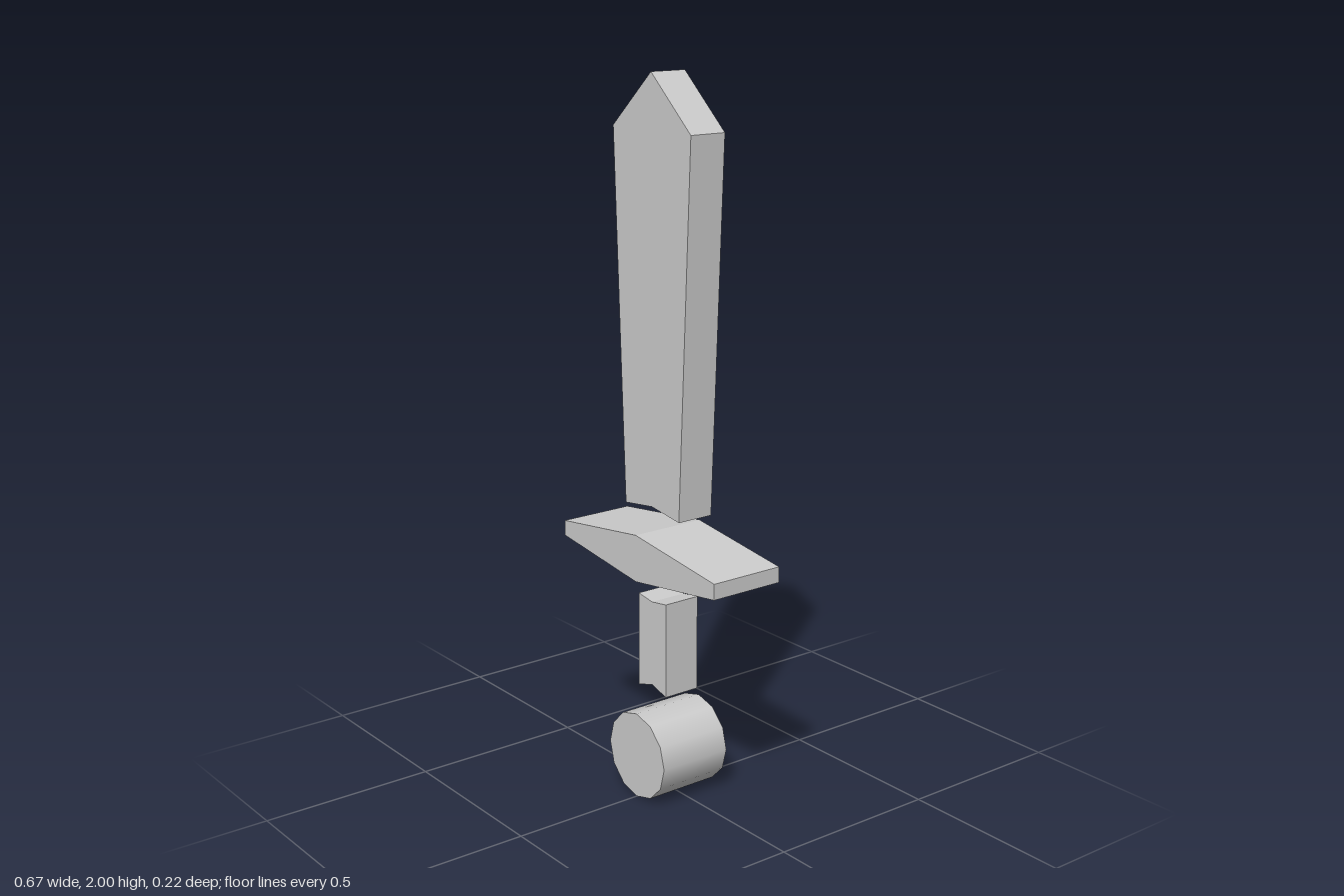
import * as THREE from 'three';

const material = new THREE.MeshStandardMaterial({ color: 0xcccccc, flatShading: true });
const smoothMaterial = new THREE.MeshStandardMaterial({ color: 0xcccccc });

// Plate cut from a mirrored outline; points run up the +x side, from bottom centre to top centre
function plate(name, half, depth) {
  const mirrored = half.slice(1, -1).reverse().map(([x, y]) => [-x, y]);
  const shape = new THREE.Shape([...half, ...mirrored].map(([x, y]) => new THREE.Vector2(x, y)));
  const geometry = new THREE.ExtrudeGeometry(shape, { depth, bevelEnabled: false });
  geometry.translate(0, 0, -depth / 2);
  const mesh = new THREE.Mesh(geometry, material);
  mesh.name = name;
  return mesh;
}

export function createModel() {
  const sword = new THREE.Group();
  sword.name = 'sword';

  // Blade: widens upward to a pointed tip, notched at its foot
  sword.add(plate('blade', [[0, 0.842], [0.118, 0.826], [0.164, 1.853], [0, 2]], 0.11));

  // Crossguard: long flattened hexagon, twice as deep as the blade
  sword.add(plate('crossguard', [[0, 0.639], [0.336, 0.684], [0.336, 0.728], [0, 0.772]], 0.221));

  // Grip: short bar notched at both ends
  sword.add(plate('grip', [[0, 0.323], [0.061, 0.305], [0.061, 0.577], [0, 0.568]], 0.11));

  // Pommel: twelve-sided drum lying front to back
  const pommel = new THREE.Mesh(new THREE.CylinderGeometry(0.125, 0.125, 0.221, 12), smoothMaterial);
  pommel.name = 'pommel';
  pommel.rotation.x = Math.PI / 2;
  pommel.position.y = 0.125;
  sword.add(pommel);

  return sword;
}
